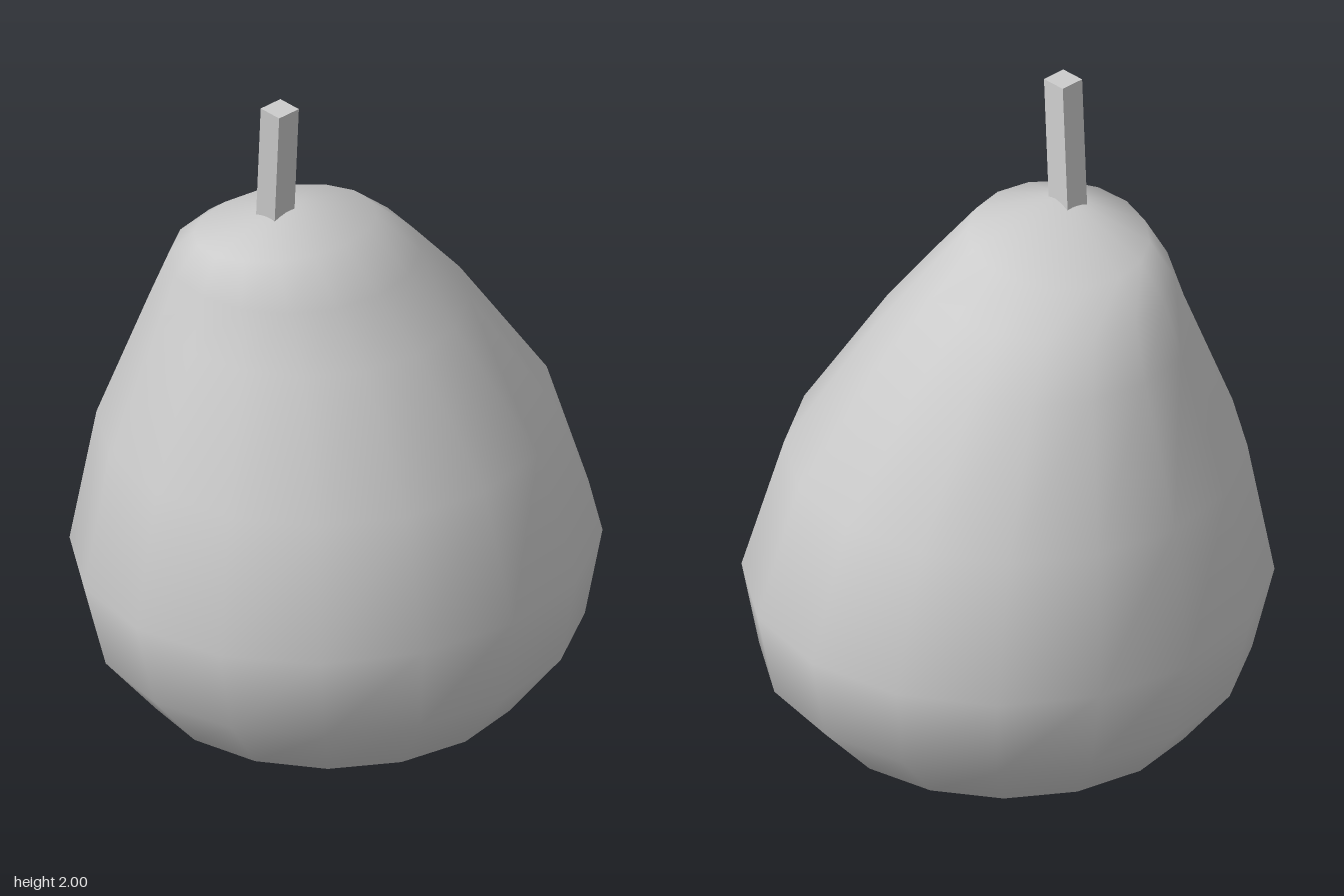
import * as THREE from 'three';

const SIDES = 16;

// Each ring: height, centre x/z, radius x/z, and tilt (rise towards the front)
const RINGS = [
  [0.015, -0.01, -0.01, 0.285, 0.29, 0],
  [0.115, -0.01, 0.01, 0.53, 0.52, 0.005],
  [0.295, 0, 0.01, 0.69, 0.66, 0.015],
  [0.55, 0, 0, 0.75, 0.71, 0.02],
  [0.94, -0.015, -0.015, 0.645, 0.625, 0.01],
  [1.31, -0.058, -0.045, 0.442, 0.435, 0],
  [1.46, -0.1, -0.06, 0.35, 0.34, 0.01],
  [1.57, -0.14, -0.055, 0.26, 0.24, 0.035],
];
const BOTTOM = [0, 0.005, 0];
const TOP = [-0.19, 1.665, -0.02];

function bodyGeometry() {
  const pos = [];
  const index = [];
  for (const [y, cx, cz, rx, rz, tilt] of RINGS) {
    for (let i = 0; i < SIDES; i++) {
      const a = (i / SIDES) * Math.PI * 2;
      pos.push(cx + rx * Math.cos(a), y + tilt * Math.sin(a), cz + rz * Math.sin(a));
    }
  }
  const low = RINGS.length * SIDES;
  const high = low + 1;
  pos.push(...BOTTOM, ...TOP);
  const lastRing = (RINGS.length - 1) * SIDES;
  for (let i = 0; i < SIDES; i++) {
    const j = (i + 1) % SIDES;
    index.push(low, i, j);
    for (let r = 0; r < lastRing; r += SIDES) {
      index.push(r + i, r + SIDES + i, r + j);
      index.push(r + j, r + SIDES + i, r + SIDES + j);
    }
    index.push(lastRing + i, high, lastRing + j);
  }
  const geo = new THREE.BufferGeometry();
  geo.setAttribute('position', new THREE.Float32BufferAttribute(pos, 3));
  geo.setIndex(index);
  geo.computeVertexNormals();
  return geo;
}

// Square stem sheared to lean left and forward, rooted inside the fruit
function stemGeometry() {
  const bottom = 1.56;
  const height = 2 - bottom;
  const geo = new THREE.BoxGeometry(0.074, height, 0.074);
  geo.translate(0, bottom + height / 2, 0);
  const p = geo.attributes.position;
  for (let i = 0; i < p.count; i++) {
    const drop = 2 - p.getY(i);
    p.setX(i, p.getX(i) - 0.226 + drop * 0.07);
    p.setZ(i, p.getZ(i) + 0.016 - drop * 0.125);
  }
  geo.computeVertexNormals();
  return geo;
}

export function createModel() {
  const group = new THREE.Group();
  group.name = 'pear';

  const body = new THREE.Mesh(bodyGeometry(), new THREE.MeshStandardMaterial({ color: 0xcccccc }));
  body.name = 'fruitBody';

  const stem = new THREE.Mesh(
    stemGeometry(),
    new THREE.MeshStandardMaterial({ color: 0xcccccc, flatShading: true })
  );
  stem.name = 'stem';

  group.add(body, stem);
  return group;
}
